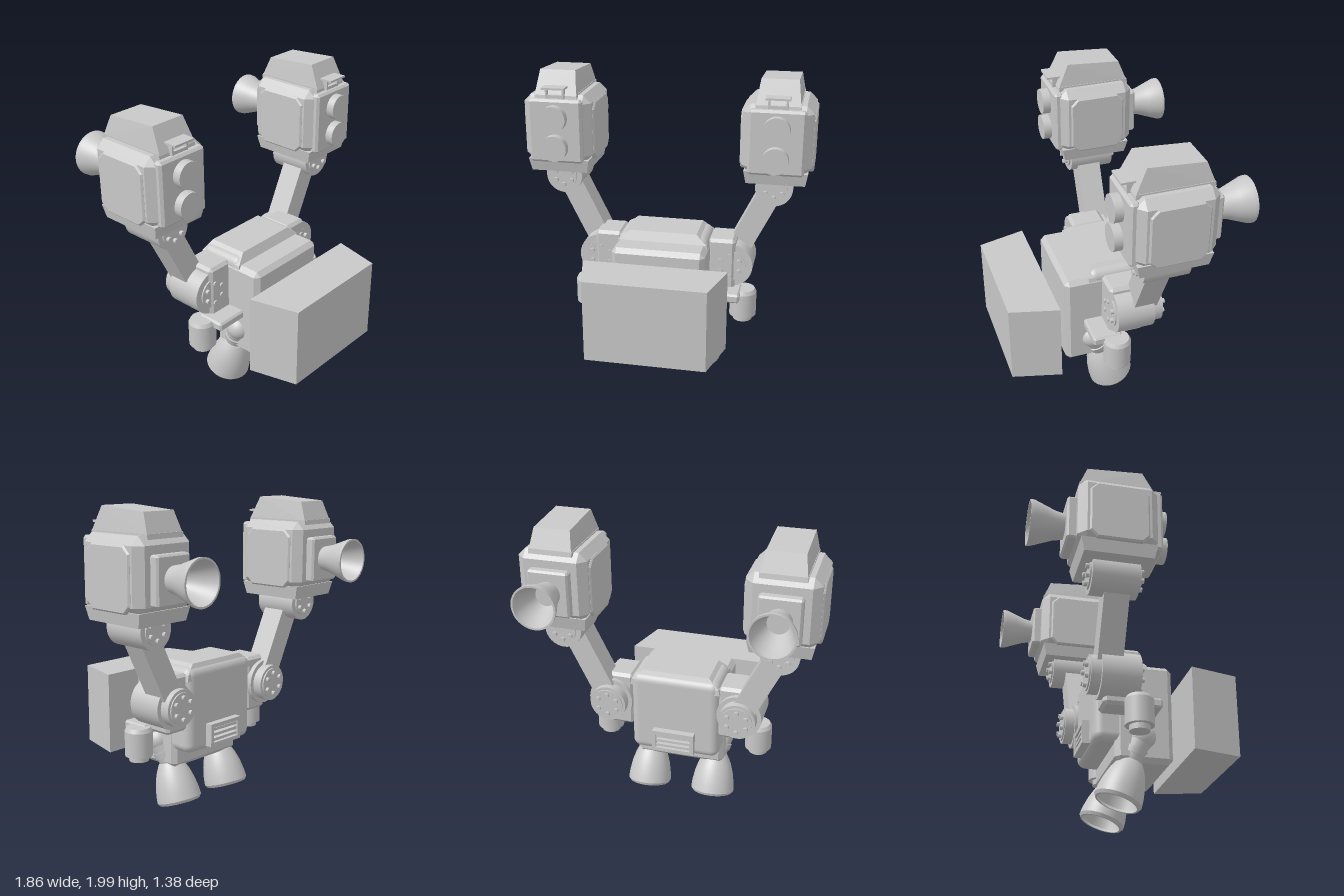
import * as THREE from 'three';
import { toCreasedNormals } from 'three/addons/utils/BufferGeometryUtils.js';
import { RoundedBoxGeometry } from 'three/addons/geometries/RoundedBoxGeometry.js';
import { ConvexGeometry } from 'three/addons/geometries/ConvexGeometry.js';

const grey = new THREE.MeshStandardMaterial({ color: 0xc8c8c8 });
grey.name = 'light grey';
const V = (x, y, z) => new THREE.Vector3(x, y, z);

function add(parent, name, geo, x = 0, y = 0, z = 0) {
  const m = new THREE.Mesh(geo, grey);
  m.name = name;
  m.position.set(x, y, z);
  parent.add(m);
  return m;
}

// Box with every edge cut at an angle
function chamferBox(w, h, d, cx, cy = cx, cz = cx) {
  const pts = [], a = w / 2, b = h / 2, c = d / 2;
  for (const i of [-1, 1]) for (const j of [-1, 1]) for (const k of [-1, 1]) {
    pts.push(V(i * a, j * (b - cy), k * (c - cz)));
    pts.push(V(i * (a - cx), j * b, k * (c - cz)));
    pts.push(V(i * (a - cx), j * (b - cy), k * c));
  }
  return new ConvexGeometry(pts);
}

// Solid between two rectangles, each [y, half width, back z, front z]
function taper(...levels) {
  const pts = [];
  for (const [y, w, z0, z1] of levels)
    pts.push(V(-w, y, z0), V(w, y, z0), V(-w, y, z1), V(w, y, z1));
  return new ConvexGeometry(pts);
}

const box = (w, h, d) => new THREE.BoxGeometry(w, h, d);
const cylY = (r0, r1, h, n = 32) => new THREE.CylinderGeometry(r0, r1, h, n);
const cylZ = (r, h, n = 32) => cylY(r, r, h, n).rotateX(Math.PI / 2);

// Thick-walled bell, opening downward along -y
function bell(profile) {
  const inner = profile.map(([r, y]) => [r - 0.012, y]).reverse();
  const last = profile[profile.length - 1][1];
  const pts = [[0, last - 0.03], [inner[0][0], last - 0.03], ...inner.slice(1), ...profile, [0, last]];
  const geo = new THREE.LatheGeometry(pts.map(([r, y]) => new THREE.Vector2(r, y)), 40);
  return toCreasedNormals(geo, 0.6);
}

// Round plate with six bolts on a drum end, dir is the z direction it faces
function boltRing(parent, x, y, z, dir, r) {
  add(parent, 'drumPlate', cylZ(r * 1.45, 0.012), x, y, z + dir * 0.003);
  for (let i = 0; i < 6; i++) {
    const a = (i / 6) * Math.PI * 2 + Math.PI / 6;
    add(parent, 'bolt', cylZ(0.016, 0.035, 10), x + Math.cos(a) * r, y + Math.sin(a) * r, z + dir * 0.012);
  }
}

function frame(w, h, depth, t) {
  const s = new THREE.Shape([[-w, -h], [w, -h], [w, h], [-w, h]].map(p => new THREE.Vector2(...p)));
  const a = w - t, b = h - t;
  s.holes.push(new THREE.Path([[-a, -b], [-a, b], [a, b], [a, -b]].map(p => new THREE.Vector2(...p))));
  return new THREE.ExtrudeGeometry(s, { depth, bevelEnabled: false });
}

function buildBody(root) {
  const g = new THREE.Group();
  g.name = 'body';
  add(g, 'rearBody', new RoundedBoxGeometry(0.59, 0.56, 0.33, 4, 0.055), 0, 0.7, -0.025);
  add(g, 'bodyTop', taper([0.9, 0.3, -0.185, 0.145], [0.94, 0.29, -0.18, 0.14], [1.0, 0.22, -0.15, 0.11]));
  add(g, 'frontBody', chamferBox(0.6, 0.64, 0.36, 0.03), 0, 0.62, 0.12);
  // Exhaust vent on the back
  add(g, 'ventFrame', frame(0.14, 0.075, 0.06, 0.025), 0, 0.525, -0.235);
  for (let i = -1; i <= 1; i++) add(g, 'ventSlat', box(0.24, 0.018, 0.04), 0, 0.525 + i * 0.034, -0.205);
  root.add(g);

  // Detached shield block in front
  const s = new THREE.Shape([[-0.46, -0.38], [-0.38, -0.69], [0.38, -0.69], [0.46, -0.38]].map(p => new THREE.Vector2(...p)));
  const shield = new THREE.ExtrudeGeometry(s, { depth: 0.53, bevelEnabled: false }).rotateX(-Math.PI / 2);
  add(root, 'frontBlock', shield, 0, 0.35, 0);
}

function buildArm(root, s) {
  const g = new THREE.Group();
  g.name = s > 0 ? 'leftArm' : 'rightArm';
  const sx = s * 0.43, sy = 0.775, ex = s * 0.688, ey = 1.3;
  add(g, 'shoulderBlock', chamferBox(0.18, 0.37, 0.23, 0.02), s * 0.375, 0.77, -0.055);
  // Shoulder drum
  add(g, 'shoulderDrum', cylZ(0.147, 0.24), sx, sy, -0.08);
  add(g, 'shoulderDrumEnd', cylZ(0.12, 0.08), sx, sy, -0.222);
  boltRing(g, sx, sy, -0.262, -1, 0.07);
  boltRing(g, sx, sy, 0.04, 1, 0.07);
  // Arm beam
  const beam = add(g, 'armBeam', box(0.148, Math.hypot(ex - sx, ey - sy), 0.155), (sx + ex) / 2, (sy + ey) / 2, -0.147);
  beam.rotation.z = -Math.atan2(ex - sx, ey - sy);
  // Wrist drum
  add(g, 'wristDrum', cylZ(0.12, 0.29), ex, ey, -0.167);
  boltRing(g, ex, ey, -0.313, -1, 0.06);
  boltRing(g, ex, ey, -0.02, 1, 0.06);
  root.add(g);
}

function buildPod(root, s) {
  const g = new THREE.Group();
  g.name = s > 0 ? 'leftPod' : 'rightPod';
  g.position.x = s * 0.698;
  add(g, 'podBase', taper([1.345, 0.185, -0.38, 0.04], [1.4, 0.185, -0.38, 0.04], [1.43, 0.2, -0.4, 0.06]));
  add(g, 'podBody', chamferBox(0.44, 0.44, 0.49, 0.05, 0.05, 0.05), 0, 1.63, -0.175);
  add(g, 'frontPlate', chamferBox(0.35, 0.41, 0.06, 0.015), 0, 1.625, 0.07);
  for (const y of [1.715, 1.525]) add(g, 'lens', cylZ(0.083, 0.06), 0, y, 0.122);
  // Raised side panels with cut corners
  const c = 0.045, a = 0.18, b = 0.19;
  const panel = new THREE.Shape([[-a, c - b], [c - a, -b], [a - c, -b], [a, c - b], [a, b - c], [a - c, b], [c - a, b], [-a, b - c]].map(p => new THREE.Vector2(...p)));
  for (const k of [-1, 1]) {
    const geo = new THREE.ExtrudeGeometry(panel, { depth: 0.015, bevelThickness: 0.01, bevelSize: 0.01, bevelOffset: -0.01, bevelSegments: 1 });
    add(g, 'sidePanel', geo, k * 0.206, 1.61, -0.175).rotation.y = k * Math.PI / 2;
  }
  // Top housing and small hooded sight
  add(g, 'topHousing', taper([1.83, 0.138, -0.41, 0.06], [1.86, 0.138, -0.405, 0.055]));
  const top = [];
  for (const k of [-1, 1]) top.push(V(k * 0.136, 1.85, -0.405), V(k * 0.136, 1.85, 0.06), V(k * 0.115, 2.0, -0.01), V(k * 0.115, 1.977, -0.355));
  add(g, 'topCover', new ConvexGeometry(top));
  add(g, 'sightHood', box(0.15, 0.012, 0.1), 0, 1.903, 0.07);
  for (const k of [-1, 1]) add(g, 'sightPost', box(0.012, 0.07, 0.06), k * 0.055, 1.868, 0.05);
  add(g, 'sightBase', box(0.12, 0.02, 0.06), 0, 1.845, 0.05);
  // Rear nozzle
  add(g, 'rearMount', chamferBox(0.26, 0.29, 0.08, 0.012), 0, 1.605, -0.435);
  const nozzle = bell([[0.14, -0.215], [0.138, -0.19], [0.112, -0.12], [0.09, -0.06], [0.078, 0]]);
  add(g, 'rearNozzle', nozzle, 0, 1.61, -0.474).rotation.x = Math.PI / 2;
  root.add(g);
}

function buildThruster(root, s) {
  const g = new THREE.Group();
  g.name = s > 0 ? 'leftThruster' : 'rightThruster';
  // Small side canister on a bracket
  add(g, 'bracket', chamferBox(0.24, 0.06, 0.19, 0.012), s * 0.39, 0.598, 0.085);
  add(g, 'canister', cylY(0.088, 0.088, 0.16), s * 0.522, 0.515, 0.03);
  add(g, 'canisterTop', cylY(0.075, 0.088, 0.025), s * 0.522, 0.607, 0.03);
  add(g, 'canisterFoot', cylY(0.062, 0.062, 0.06), s * 0.522, 0.43, 0.03);
  // Swivelling neck
  const p = V(s * 0.23, 0.32, 0.05), q = V(s * 0.268, 0.46, 0.115), dir = q.clone().sub(p);
  const neck = add(g, 'neck', cylY(0.078, 0.07, dir.length()), ...p.clone().add(q).multiplyScalar(0.5).toArray());
  neck.quaternion.setFromUnitVectors(V(0, 1, 0), dir.clone().normalize());
  const ringAt = p.clone().lerp(q, 0.4);
  add(g, 'neckRing', cylY(0.082, 0.08, 0.04), ...ringAt.toArray()).quaternion.copy(neck.quaternion);
  add(g, 'neckBall', new THREE.SphereGeometry(0.082, 28, 18), ...q.toArray());
  // Large tilted bell
  const nozzle = bell([[0.135, -0.268], [0.147, -0.25], [0.143, -0.2], [0.13, -0.13], [0.11, -0.065], [0.088, -0.02], [0.076, 0]]);
  add(g, 'mainNozzle', nozzle, s * 0.227, 0.31, 0.05).rotation.x = 0.33;
  root.add(g);
}

export function createModel() {
  const root = new THREE.Group();
  root.name = 'thrusterPack';
  buildBody(root);
  for (const s of [-1, 1]) {
    buildArm(root, s);
    buildPod(root, s);
    buildThruster(root, s);
  }
  return root;
}
